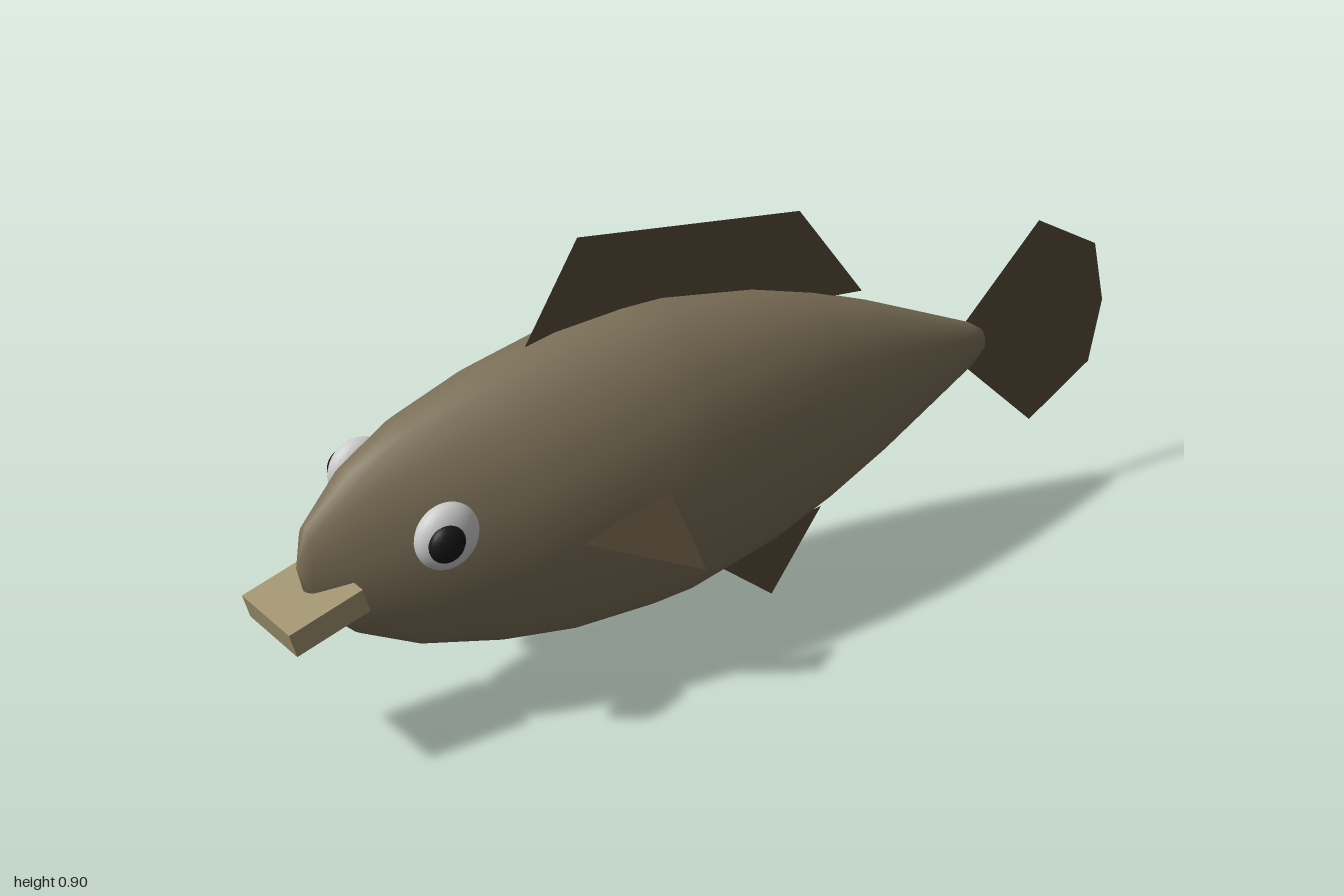
import * as THREE from 'three';
import { mergeVertices } from 'three/addons/utils/BufferGeometryUtils.js';

const MID = 0.42; // height of the body axis

const material = (color, extra = {}) => new THREE.MeshStandardMaterial({ color, ...extra });
const skin = material(0x7c7058);
const finSkin = material(0x5a4c3a, { side: THREE.DoubleSide });
const lipSkin = material(0xa0936f);
const white = material(0xcccccc);
const black = material(0x161616);

function addMesh(parent, name, geometry, mat) {
  const mesh = new THREE.Mesh(geometry, mat);
  mesh.name = name;
  parent.add(mesh);
  return mesh;
}

// Oval body: lathe profile [radius, z], flattened sideways and narrowed at the head
function bodyGeometry() {
  const profile = [
    [0, -0.675], [0.025, -0.665], [0.05, -0.63], [0.11, -0.5], [0.165, -0.38], [0.225, -0.23],
    [0.273, -0.08], [0.313, 0.13], [0.316, 0.22], [0.309, 0.37], [0.28, 0.53], [0.232, 0.7],
    [0.17, 0.82], [0.08, 0.91], [0, 0.93],
  ].map(([r, z]) => new THREE.Vector2(r, z));
  let geometry = new THREE.LatheGeometry(profile, 24);
  geometry.rotateX(Math.PI / 2);
  const p = geometry.attributes.position;
  for (let i = 0; i < p.count; i++) {
    const t = Math.max(0, (p.getZ(i) - 0.4) / 0.53);
    p.setX(i, p.getX(i) * 0.6 * (1 - 0.5 * t * t));
  }
  geometry.deleteAttribute('uv');
  geometry.deleteAttribute('normal');
  geometry = mergeVertices(geometry, 1e-4);
  geometry.computeVertexNormals();
  return geometry;
}

// Thin upright fin in the middle plane, outlined by [z, y] points
function finGeometry(outline) {
  const shape = new THREE.Shape(outline.map(([z, y]) => new THREE.Vector2(-z, y)));
  return new THREE.ShapeGeometry(shape).rotateY(Math.PI / 2);
}

export function createModel() {
  const fish = new THREE.Group();
  fish.name = 'fish';

  addMesh(fish, 'body', bodyGeometry(), skin).position.y = MID;

  // Fins along the middle
  addMesh(fish, 'dorsalFin', finGeometry([
    [0.44, 0.71], [0.316, 0.905], [-0.193, 0.828], [-0.35, 0.617],
  ]), finSkin);
  addMesh(fish, 'tailFin', finGeometry([
    [-0.62, 0.47], [-0.81, 0.65], [-0.97, 0.557], [-1, MID], [-0.97, 0.284], [-0.81, 0.193], [-0.62, 0.375],
  ]), finSkin);
  addMesh(fish, 'analFin', finGeometry([[0.03, 0.134], [-0.257, 0.163], [-0.134, 0]]), finSkin);

  // Boxy mouth tilted downward
  const mouth = addMesh(fish, 'mouth', new THREE.BoxGeometry(0.174, 0.05, 0.158), lipSkin);
  mouth.position.set(0, 0.343, 0.915);
  mouth.rotation.x = 0.27;

  // Eyes and side fins, mirrored
  for (const [side, s] of [['left', 1], ['right', -1]]) {
    const eye = addMesh(fish, side + 'Eye', new THREE.SphereGeometry(0.065, 24, 16), white);
    eye.scale.x = 0.55;
    eye.position.set(s * 0.154, 0.483, 0.707);

    const pupil = addMesh(fish, side + 'Pupil', new THREE.SphereGeometry(0.037, 20, 14), black);
    pupil.scale.x = 0.6;
    pupil.position.set(s * 0.18, 0.484, 0.722);

    const fin = new THREE.BufferGeometry().setFromPoints([
      new THREE.Vector3(s * 0.17, 0.386, 0.438),
      new THREE.Vector3(s * 0.207, 0.45, 0.257),
      new THREE.Vector3(s * 0.27, 0.303, 0.222),
    ]);
    fin.computeVertexNormals();
    addMesh(fish, side + 'PectoralFin', fin, finSkin);
  }
  return fish;
}
